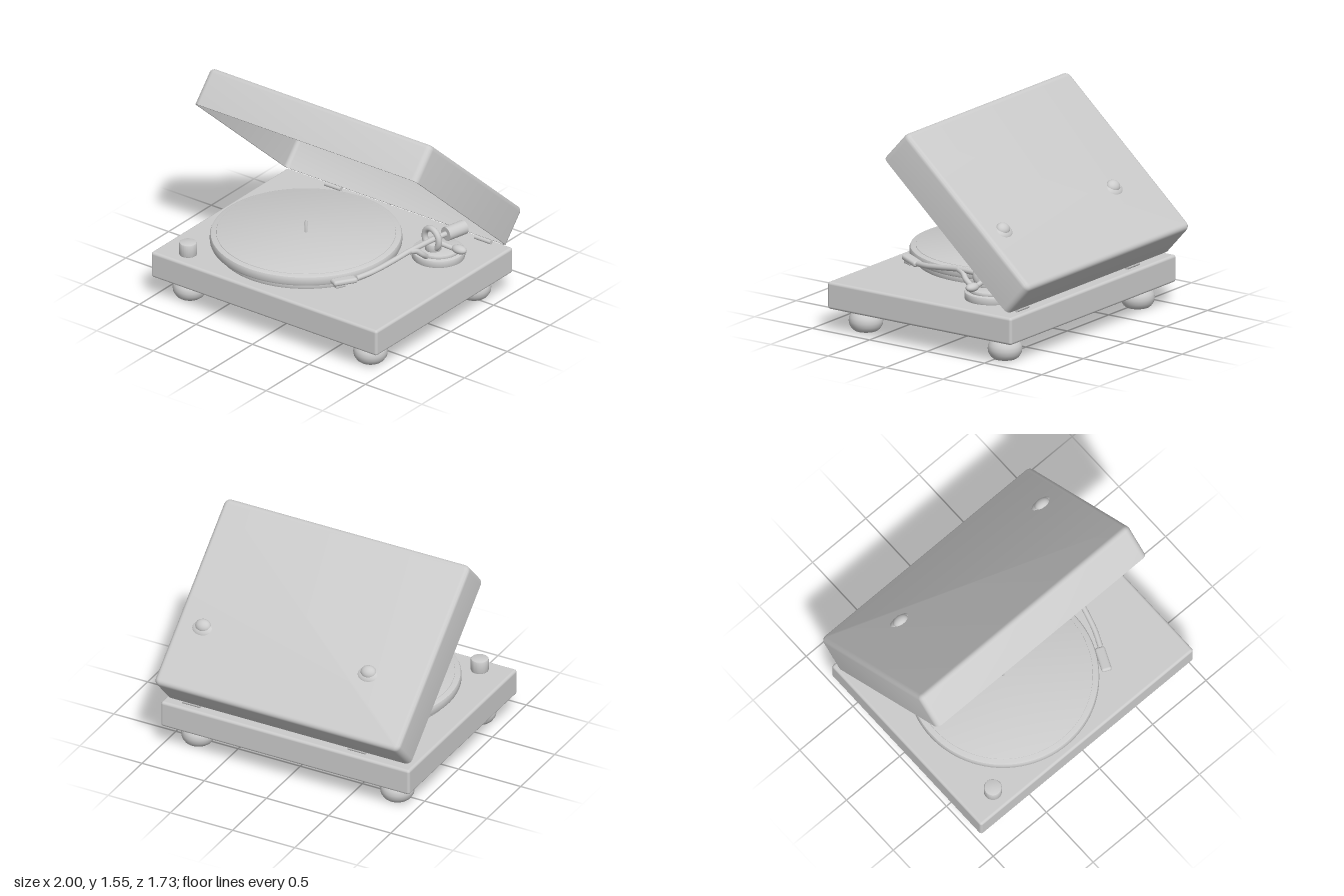
import * as THREE from 'three';
import { RoundedBoxGeometry } from 'three/addons/geometries/RoundedBoxGeometry.js';
import { toCreasedNormals } from 'three/addons/utils/BufferGeometryUtils.js';

const material = new THREE.MeshStandardMaterial({ color: 0xcccccc });
const V = (x, y, z) => new THREE.Vector3(x, y, z);

function add(parent, name, geometry, x = 0, y = 0, z = 0) {
  const mesh = new THREE.Mesh(geometry, material);
  mesh.name = name;
  mesh.position.set(x, y, z);
  parent.add(mesh);
  return mesh;
}

// Turned part from [radius, y] pairs listed bottom to top
function turned(profile, segments = 48) {
  const points = profile.map(([r, y]) => new THREE.Vector2(r, y));
  return toCreasedNormals(new THREE.LatheGeometry(points, segments), 0.7);
}

// Disc with softened rims
function disc(r, y0, y1, b = 0.012, segments = 64) {
  const k = b * 0.3;
  return turned([[0, y0], [r - b, y0], [r - k, y0 + k], [r, y0 + b],
    [r, y1 - b], [r - k, y1 - k], [r - b, y1], [0, y1]], segments);
}

function tube(points, radius, closed = false) {
  const curve = new THREE.CatmullRomCurve3(points, closed);
  return new THREE.TubeGeometry(curve, 40, radius, 12, closed);
}

// Rod between two points
function rod(parent, name, a, b, r0, r1 = r0) {
  const mesh = add(parent, name, new THREE.CylinderGeometry(r1, r0, a.distanceTo(b), 24));
  mesh.position.copy(a).lerp(b, 0.5);
  mesh.quaternion.setFromUnitVectors(V(0, 1, 0), b.clone().sub(a).normalize());
  return mesh;
}

// Hollow cover: rounded rectangles lofted over [inset, y] rings, outside then inside
function coverGeometry(width, depth, height, wall) {
  const round = 0.035, steps = 5, rings = [];
  const side = (inset, top, r) => {
    const list = [[inset, 0]];
    for (let i = 0; i <= steps; i++) {
      const a = (i / steps) * Math.PI / 2;
      list.push([inset + r * (1 - Math.cos(a)), top - r + r * Math.sin(a)]);
    }
    return list;
  };
  rings.push(...side(0, height, round));
  rings.push(...side(wall, height - wall, round - wall).reverse());
  const positions = [], index = [], n = 4 * (steps + 1);
  for (const [inset, y] of rings) {
    const r = Math.max(0.045 - inset, 0.004);
    for (let c = 0; c < 4; c++) {
      const sx = c === 0 || c === 3 ? 1 : -1, sz = c < 2 ? 1 : -1;
      for (let i = 0; i <= steps; i++) {
        const a = (c + i / steps) * Math.PI / 2;
        positions.push(sx * (width / 2 - inset - r) + r * Math.cos(a), y,
          sz * (depth / 2 - inset - r) + r * Math.sin(a));
      }
    }
  }
  const quad = (a, b, c, d) => index.push(a, b, c, a, c, d);
  const loft = (p, q) => {
    for (let i = 0; i < n; i++) {
      const j = (i + 1) % n;
      quad(p * n + i, q * n + i, q * n + j, p * n + j);
    }
  };
  for (let k = 0; k < steps + 1; k++) loft(k, k + 1);
  for (let k = steps + 2; k < rings.length - 1; k++) loft(k, k + 1);
  loft(rings.length - 1, 0); // open rim
  const outer = (steps + 1) * n, inner = (steps + 2) * n;
  for (let i = 1; i < n - 1; i++) {
    index.push(outer, outer + i + 1, outer + i); // top plate
    index.push(inner, inner + i, inner + i + 1); // ceiling
  }
  const g = new THREE.BufferGeometry();
  g.setAttribute('position', new THREE.Float32BufferAttribute(positions, 3));
  g.setIndex(index);
  return toCreasedNormals(g, 0.6);
}

export function createModel() {
  const model = new THREE.Group();
  model.name = 'recordPlayer';

  // Plinth and feet
  add(model, 'plinth', new RoundedBoxGeometry(2, 0.2, 1.6, 4, 0.02), 0, 0.265, 0.07);
  const foot = turned([[0, 0], [0.085, 0], [0.1, 0.012], [0.118, 0.04], [0.123, 0.07],
    [0.118, 0.1], [0.1, 0.125], [0.085, 0.135], [0.08, 0.15], [0.085, 0.17], [0, 0.17]]);
  for (const x of [-0.8, 0.8]) for (const z of [0.675, -0.535]) add(model, 'foot', foot, x, 0, z);

  // Platter with its mat and spindle
  const platter = new THREE.Group();
  platter.name = 'platter';
  platter.position.set(-0.165, 0, 0.155);
  model.add(platter);
  add(platter, 'subPlatter', disc(0.63, 0.36, 0.415), 0, 0, 0);
  add(platter, 'platterDisc', disc(0.68, 0.41, 0.487, 0.02, 96));
  add(platter, 'mat', disc(0.635, 0.48, 0.491, 0.004, 96));
  add(platter, 'spindle', turned([[0.012, 0.48], [0.01, 0.57], [0.005, 0.585], [0, 0.587]], 16));

  // Speed knob
  add(model, 'knob', disc(0.064, 0.36, 0.462), -0.77, 0, 0.735);

  // Tonearm on its stepped base
  const arm = new THREE.Group();
  arm.name = 'tonearm';
  model.add(arm);
  const px = 0.655, pz = -0.31;
  add(arm, 'armBase', disc(0.19, 0.36, 0.42), px, 0, pz);
  add(arm, 'armBaseStep', disc(0.16, 0.41, 0.445), px, 0, pz);
  add(arm, 'armPillar', disc(0.06, 0.44, 0.505), px, 0, -0.25);
  add(arm, 'armTube', tube([V(0.5, 0.452, 0.44), V(0.55, 0.468, 0.32), V(0.595, 0.495, 0.15),
    V(0.625, 0.518, 0), V(0.645, 0.524, -0.12), V(0.665, 0.528, -0.25), V(0.695, 0.533, -0.38)], 0.02));
  const shell = add(arm, 'headshell', new RoundedBoxGeometry(0.075, 0.04, 0.19, 3, 0.018), 0.452, 0.452, 0.525);
  shell.rotation.set(-0.08, -0.43, 0, 'YXZ');
  const cartridge = add(arm, 'cartridge', new RoundedBoxGeometry(0.05, 0.05, 0.08, 3, 0.01), 0.438, 0.44, 0.56);
  cartridge.rotation.y = -0.43;
  rod(arm, 'counterweight', V(0.69, 0.532, -0.35), V(0.73, 0.534, -0.51), 0.052);
  const gimbal = add(arm, 'gimbalRing', new THREE.TorusGeometry(0.075, 0.023, 12, 36), 0.65, 0.532, -0.24);
  gimbal.rotation.y = -0.2;
  add(arm, 'armRest', tube([V(0.63, 0.517, -0.01), V(0.65, 0.505, -0.06), V(0.67, 0.47, -0.1),
    V(0.67, 0.43, -0.15)], 0.02));
  rod(arm, 'liftLever', V(0.66, 0.5, -0.27), V(0.83, 0.478, -0.29), 0.018);
  const grip = add(arm, 'leverGrip', new THREE.SphereGeometry(1, 24, 16), 0.855, 0.488, -0.29);
  grip.scale.set(0.06, 0.032, 0.04);

  // Tilted dust cover, pivoting at the back of the plinth
  const cover = new THREE.Group();
  cover.name = 'dustCover';
  cover.position.set(0, 0.39, -0.685);
  cover.rotation.x = -0.732;
  model.add(cover);
  add(cover, 'coverShell', coverGeometry(1.97, 1.445, 0.285, 0.014), 0, 0, 0.7225);

  // Hinges with the swellings they leave on the cover
  for (const x of [-0.55, 0.78]) {
    const barrel = add(model, 'hinge', new THREE.CylinderGeometry(0.016, 0.016, 0.14, 16), x, 0.382, -0.67);
    barrel.rotation.z = Math.PI / 2;
    const outside = add(cover, 'coverBump', new THREE.SphereGeometry(1, 24, 16), x, 0.282, 0.5);
    outside.scale.set(0.06, 0.042, 0.05);
    const inside = add(cover, 'coverBumpInside', new THREE.SphereGeometry(1, 24, 16), x, 0.272, 0.48);
    inside.scale.set(0.085, 0.03, 0.06);
  }
  return model;
}
